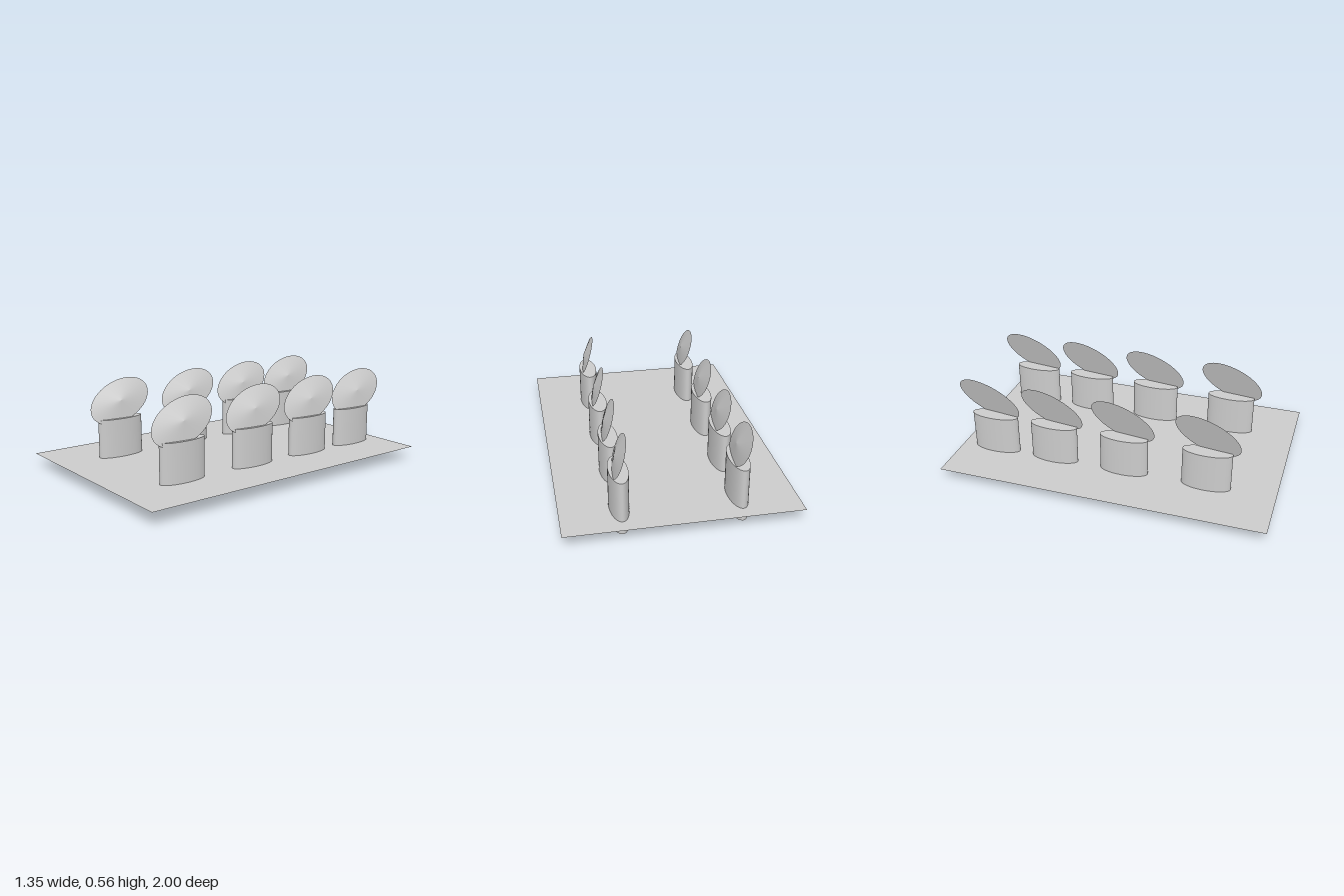
import * as THREE from 'three';

export function createModel() {
  const model = new THREE.Group();
  const material = new THREE.MeshStandardMaterial({ color: 0xcccccc });
  const sheetMaterial = new THREE.MeshStandardMaterial({ color: 0xcccccc, side: THREE.DoubleSide });

  // Elliptical post standing on y = 0
  const postGeometry = new THREE.CylinderGeometry(1, 1, 0.32, 48)
    .scale(0.055, 1, 0.15)
    .translate(0, 0.16, 0);

  // Shallow elliptical cone, flat side to -x and tip to +x
  const coneHeight = 0.025;
  const coneGeometry = new THREE.ConeGeometry(1, coneHeight, 48)
    .rotateZ(-Math.PI / 2)
    .translate(coneHeight / 2, 0, 0)
    .scale(1, 0.124, 0.209);

  // Two flat halves of the base sheet, which the posts pass through
  const sheetGeometry = new THREE.PlaneGeometry(0.675, 2).rotateX(-Math.PI / 2);

  // Rows from front to back: post z, disc z
  const rows = [[0.58, 0.578], [0.07, 0.063], [-0.38, -0.388], [-0.77, -0.802]];

  for (const [name, side] of [['left', 1], ['right', -1]]) {
    const half = new THREE.Group();
    half.name = `${name}Half`;
    half.position.x = side * 0.3375;

    const sheet = new THREE.Mesh(sheetGeometry, sheetMaterial);
    sheet.name = 'baseSheet';
    sheet.position.y = 0.08;
    half.add(sheet);

    rows.forEach(([postZ, discZ], i) => {
      const post = new THREE.Mesh(postGeometry, material);
      post.name = `post${i + 1}`;
      post.position.z = postZ;

      // Both halves lean the same way
      const disc = new THREE.Mesh(coneGeometry, material);
      disc.name = `tiltedDisc${i + 1}`;
      disc.position.set(0.001, 0.422, discZ);
      disc.rotation.set(THREE.MathUtils.degToRad(22.5), 0, THREE.MathUtils.degToRad(18));
      half.add(post, disc);
    });
    model.add(half);
  }
  return model;
}
